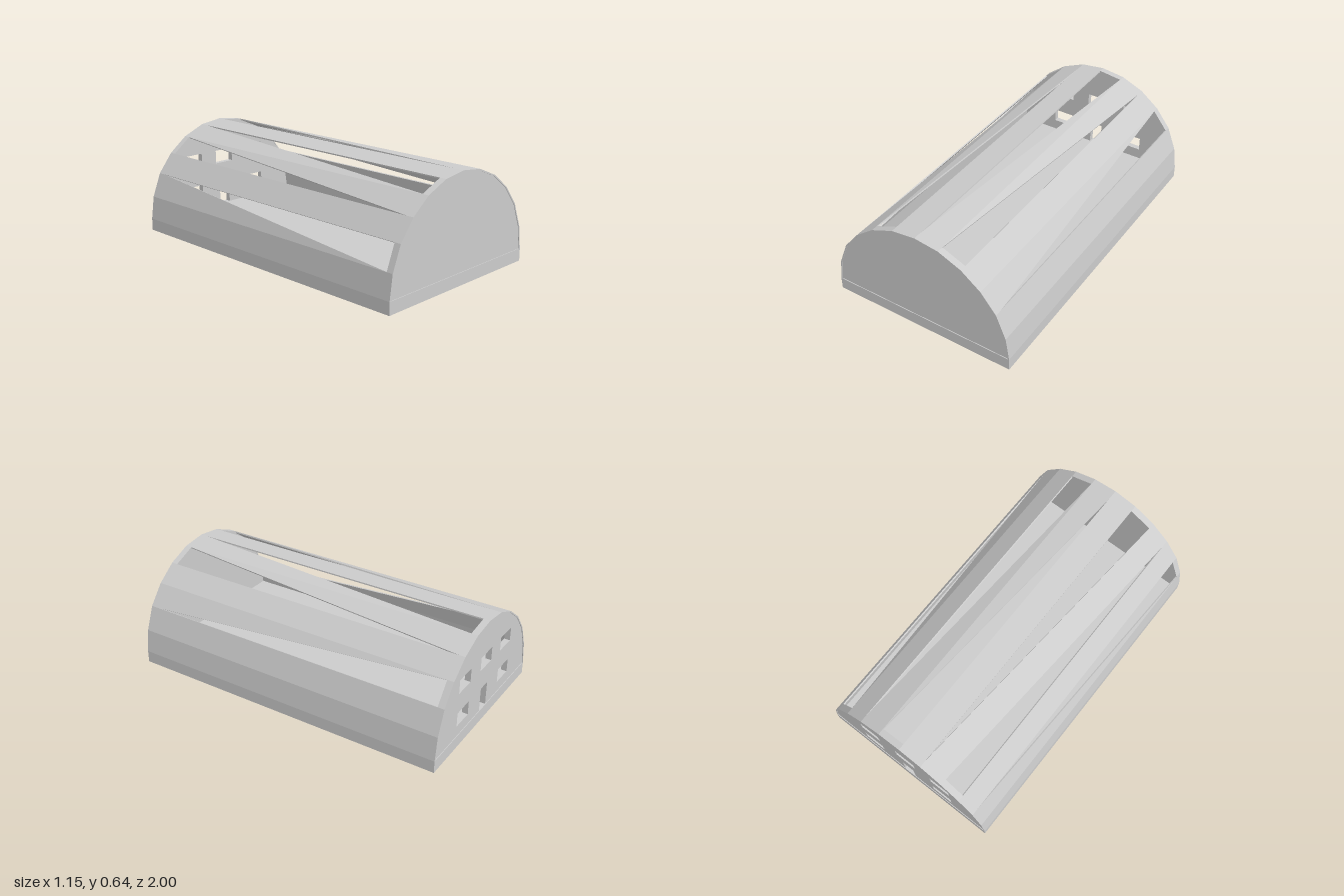
import * as THREE from 'three';

const HALF_WIDTH = 0.575, BASE = 0.075, HALF_LENGTH = 1;
const SHELL = 0.008, WALL = 0.035, OPEN_END = 0.96;

// Right half of the vault outline, eaves to ridge, mirrored to a full arch
const half = [[0.575, 0.075], [0.555, 0.217], [0.498, 0.36], [0.405, 0.477],
  [0.288, 0.567], [0.148, 0.626], [0, 0.645]];
const arch = [...half.map(([x, y]) => [-x, y]), ...half.slice(0, -1).reverse()]
  .map(([x, y]) => new THREE.Vector2(x, y));

// Panels with a triangular opening: [edge it runs along, end where it is wide]
const openings = { 1: [1, 1], 3: [0, -1], 4: [1, 1], 6: [0, -1], 7: [1, 1], 9: [1, -1] };

const material = new THREE.MeshStandardMaterial({ color: 0xcccccc, flatShading: true });

function add(group, geometry, name) {
  const mesh = new THREE.Mesh(geometry, material);
  mesh.name = name;
  group.add(mesh);
  return mesh;
}

const toShape = (pairs) => new THREE.Shape(pairs.map(([x, y]) => new THREE.Vector2(x, y)));

// One flat roof strip, with its tapered notch, laid between two arch points
function panelGeometry(a, b, opening) {
  const w = a.distanceTo(b), L = HALF_LENGTH, e = 0.001;
  const notch = (side) => {
    if (!opening || opening[0] !== side) return [];
    const edge = side * w, tip = side ? e : w - e, end = opening[1] * OPEN_END;
    const corner = [[edge, end], [tip, end], [edge, -end]];
    // the right edge is walked towards +z, the left edge towards -z
    return (side === 1) === (end < 0) ? corner : corner.reverse();
  };
  const shape = toShape([[0, -L], [w, -L], ...notch(1), [w, L], [0, L], ...notch(0)]);
  const geometry = new THREE.ExtrudeGeometry(shape, { depth: SHELL, bevelEnabled: false });
  const u = new THREE.Vector3(b.x - a.x, b.y - a.y, 0).normalize();
  const v = new THREE.Vector3(0, 0, 1);
  const inward = new THREE.Vector3().crossVectors(u, v);
  const placement = new THREE.Matrix4().makeBasis(u, v, inward).setPosition(a.x, a.y, 0);
  return geometry.applyMatrix4(placement);
}

// End wall filling the arch, optionally with a doorway and five windows
function wallGeometry(withOpenings) {
  const inset = arch.map((p) => [p.x * 0.988, BASE + (p.y - BASE) * 0.988]);
  const door = withOpenings ? [[0.035, BASE], [0.035, 0.224], [-0.046, 0.224], [-0.046, BASE]] : [];
  // arch runs left to right, the sill returns right to left
  const shape = toShape([...inset, ...door]);
  if (withOpenings) {
    const windows = [[-0.258, 0.398], [-0.005, 0.398], [0.255, 0.398], [-0.258, 0.186], [0.255, 0.186]];
    for (const [x, y] of windows) {
      const w = 0.068, h = 0.043;
      shape.holes.push(toShape([[x - w, y - h], [x + w, y - h], [x + w, y + h], [x - w, y + h]]));
    }
  }
  return new THREE.ExtrudeGeometry(shape, { depth: WALL, bevelEnabled: false });
}

export function createModel() {
  const model = new THREE.Group();
  model.name = 'vaultedHall';

  // Floor slab
  const base = add(model, new THREE.BoxGeometry(2 * HALF_WIDTH, BASE, 2 * HALF_LENGTH), 'floorSlab');
  base.position.y = BASE / 2;

  // Vaulted roof
  const roof = new THREE.Group();
  roof.name = 'roof';
  model.add(roof);
  for (let i = 0; i < arch.length - 1; i++) {
    add(roof, panelGeometry(arch[i], arch[i + 1], openings[i]), `roofPanel${i + 1}`);
  }

  // End walls, set just inside the roof rim
  add(model, wallGeometry(false), 'frontWall').position.z = HALF_LENGTH - 0.004 - WALL;
  add(model, wallGeometry(true), 'backWall').position.z = -HALF_LENGTH + 0.004;

  return model;
}
